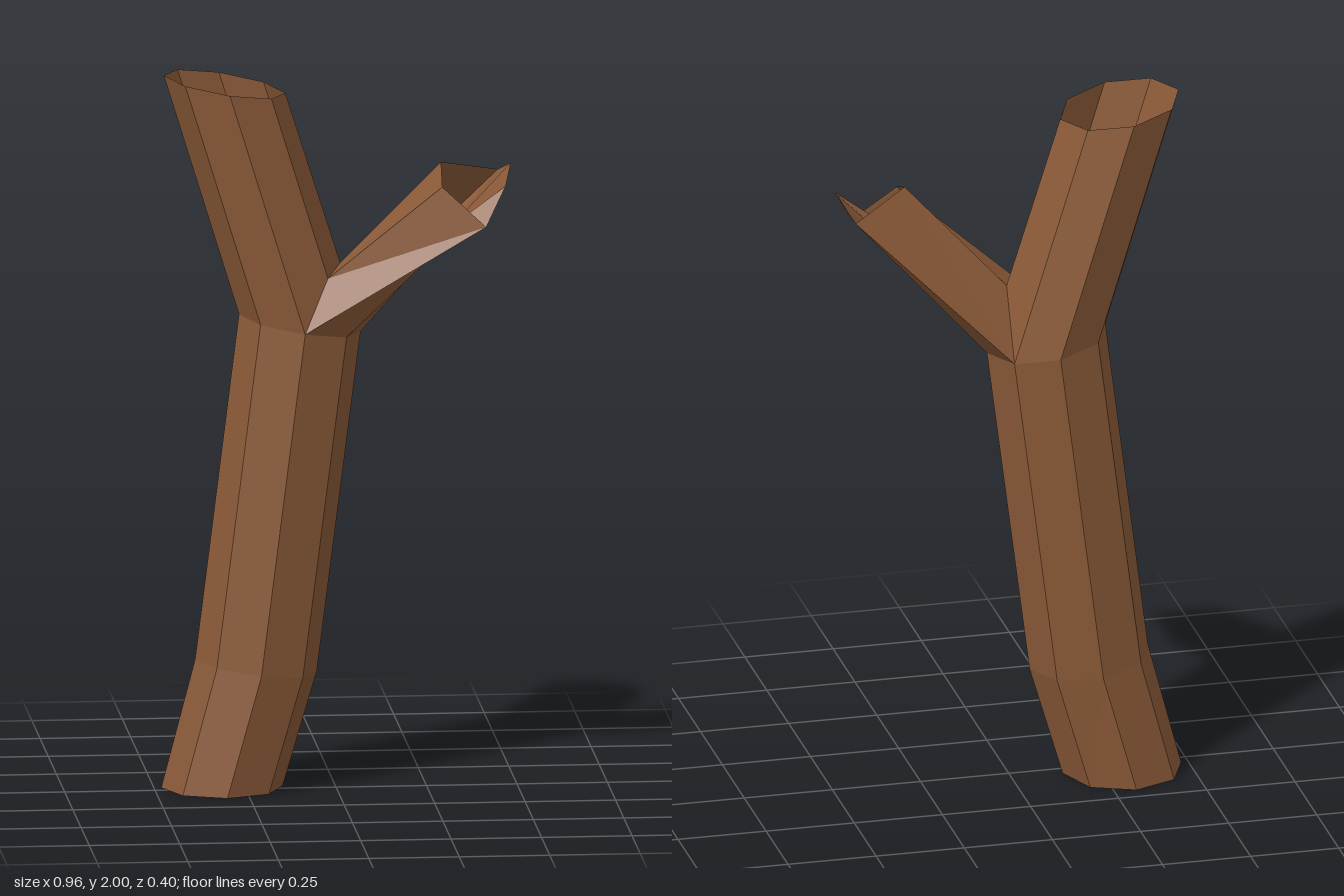
import * as THREE from 'three';

const bark = new THREE.MeshStandardMaterial({ color: 0x8b5a38, flatShading: true, side: THREE.DoubleSide });

// Eight-sided ring round (cx, cy), tilted along x; corner 0 points to +x, corner 2 to +z
function ring(cx, cy, tilt) {
  const r = 0.168;
  return Array.from({ length: 8 }, (_, k) => {
    const a = (k * Math.PI) / 4;
    const dx = r * Math.cos(a);
    return [cx + dx, cy + tilt * dx, -0.036 + r * Math.sin(a)];
  });
}

// Open tube skinned through closed loops of equal length
function skin(name, loops) {
  const n = loops[0].length;
  const index = [];
  for (let i = 0; i < loops.length - 1; i++) {
    for (let k = 0; k < n; k++) {
      const a = i * n + k, b = i * n + ((k + 1) % n);
      const c = b + n, d = a + n;
      index.push(a, d, b, d, c, b);
    }
  }
  const geometry = new THREE.BufferGeometry();
  geometry.setAttribute('position', new THREE.Float32BufferAttribute(loops.flat(2), 3));
  geometry.setIndex(index);
  geometry.computeVertexNormals();
  const mesh = new THREE.Mesh(geometry, bark);
  mesh.name = name;
  return mesh;
}

export function createModel() {
  const group = new THREE.Group();
  group.name = 'forkedLog';

  // Lower trunk, bent once, up to the fork
  const fork = ring(-0.097, 1.298, -0.165);
  group.add(skin('lowerTrunk', [ring(-0.312, 0, 0), ring(-0.218, 0.34, -0.12), fork]));

  // Upper trunk: two fork corners are lifted to leave the opening for the branch
  const crotch = [[0.015, 1.465, -0.036], [-0.03, 1.445, 0.084]];
  const upperFork = [...crotch, ...fork.slice(2)];
  group.add(skin('upperTrunk', [upperFork, ring(-0.305, 1.972, -0.165)]));

  // Side branch, from the opening to its open tip
  const root = [fork[7], fork[0], fork[1], fork[2], crotch[1], crotch[0]];
  const tip = [
    [0.455, 1.71, -0.085], [0.48, 1.752, 0.035], [0.455, 1.71, 0.153],
    [0.397, 1.605, 0.2], [0.28, 1.71, 0.152], [0.287, 1.757, 0.034],
  ];
  group.add(skin('sideBranch', [root, tip]));

  return group;
}
